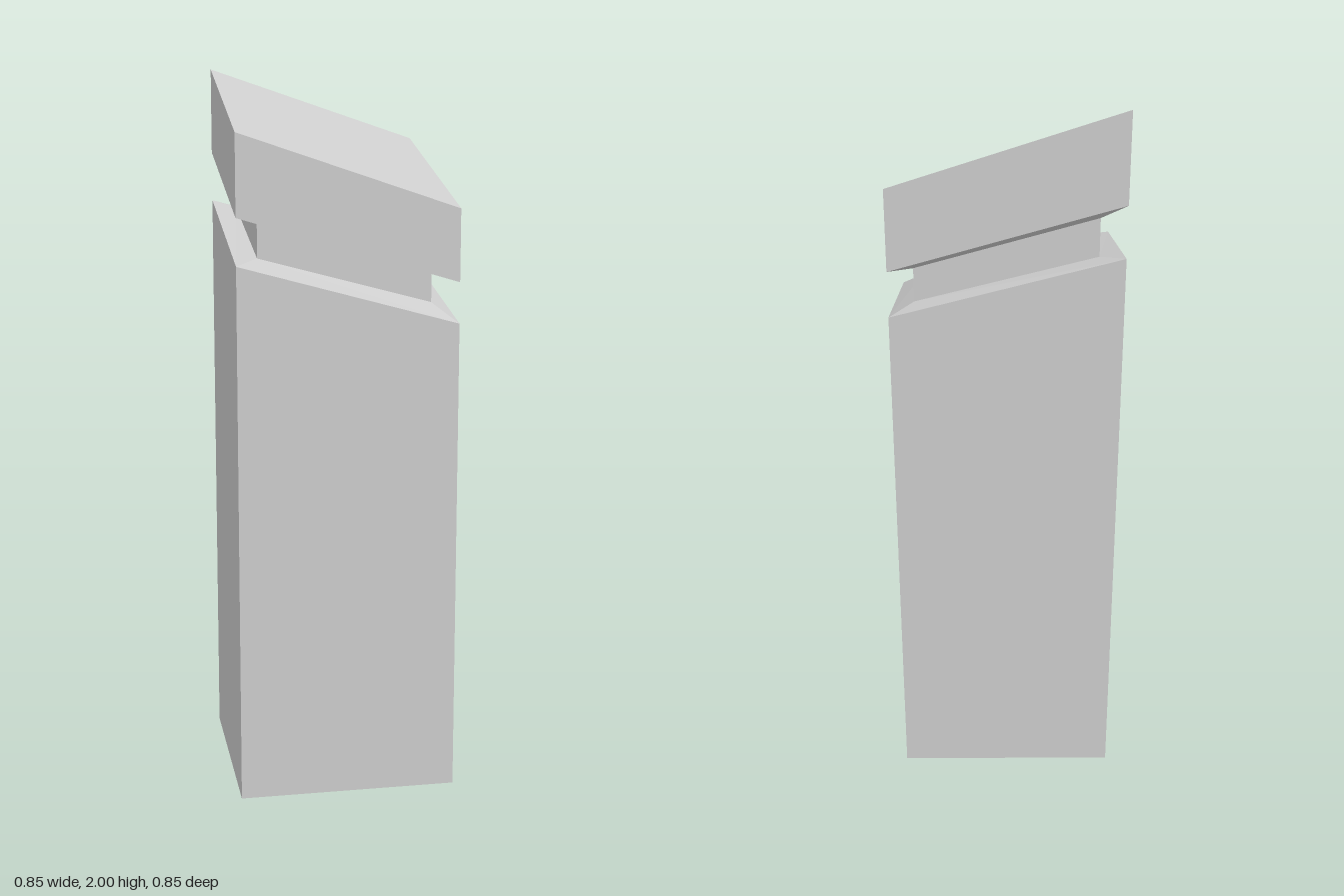
import * as THREE from 'three';

const R = 0.424; // centre to corner of the square post
const N = 0.335; // centre to corner of the recessed neck

// Each ring is [radius, height on the axis, fall in height per unit of x].
const ledge = [N, 1.48, 0.365];
const underside = [N, 1.572, 0.4];

const material = new THREE.MeshStandardMaterial({ color: 0xcccccc, flatShading: true });

// Four-sided lathe whose rings are tilted down towards +x.
function tiltedPost(name, rings) {
  const profile = rings.map(([r, y]) => new THREE.Vector2(r, y));
  const geometry = new THREE.LatheGeometry(profile, 4);
  const pos = geometry.attributes.position;
  for (let i = 0; i < pos.count; i++) {
    const slope = rings[i % rings.length][2];
    pos.setY(i, pos.getY(i) - slope * pos.getX(i));
  }
  geometry.computeVertexNormals();
  const mesh = new THREE.Mesh(geometry, material);
  mesh.name = name;
  return mesh;
}

export function createModel() {
  const model = new THREE.Group();
  model.name = 'bollard';
  model.add(
    // Tall shaft with a flat base and a slightly bevelled ledge
    tiltedPost('shaft', [[0, 0, 0], [R, 0, 0], [R, 1.463, 0.374], ledge]),
    // Recessed band between shaft and cap
    tiltedPost('neck', [ledge, underside]),
    // Slanted cap, steeper on top than underneath
    tiltedPost('cap', [underside, [R, 1.588, 0.408], [R, 1.805, 0.46], [0, 1.805, 0.46]])
  );
  return model;
}
